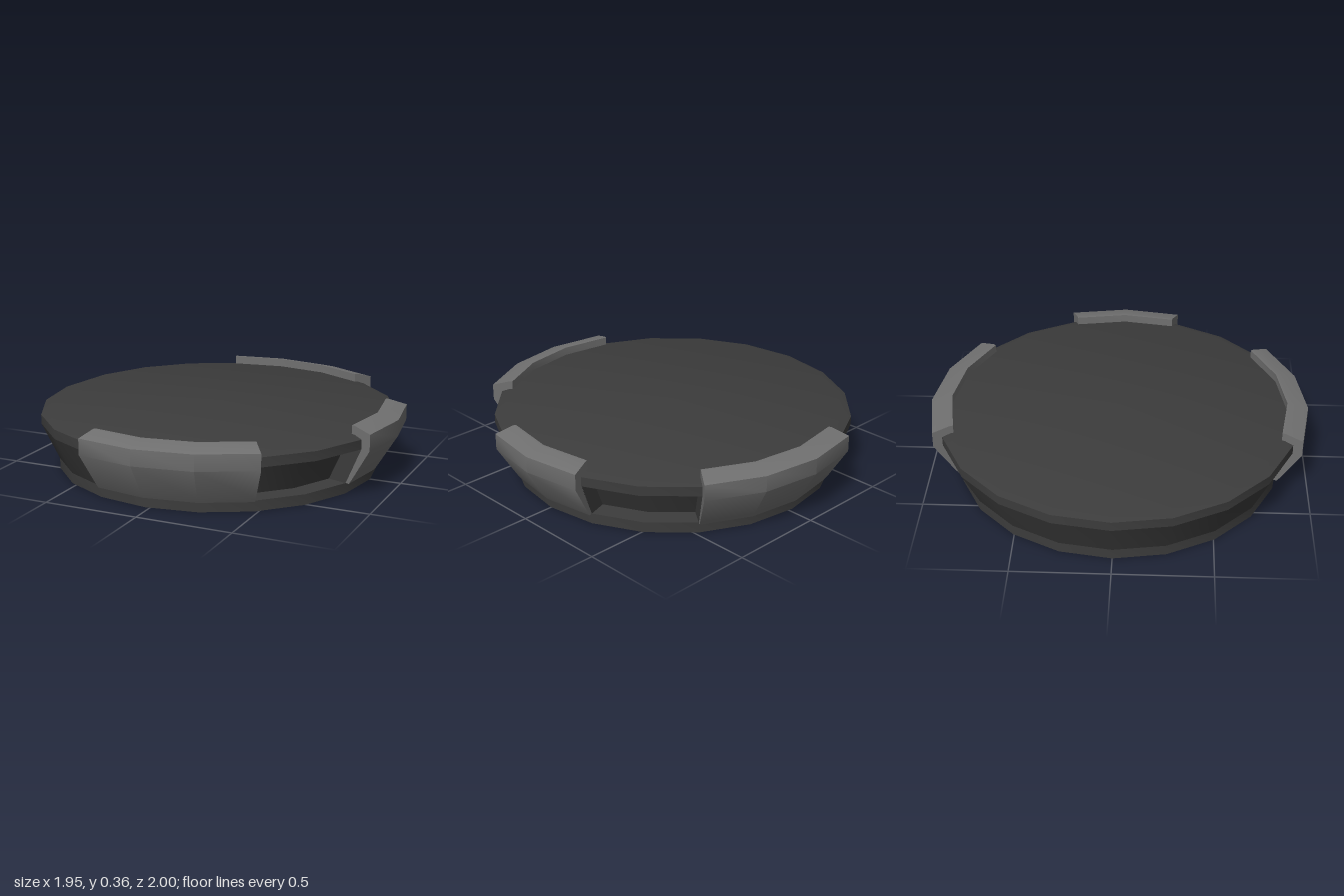
import * as THREE from 'three';
import { mergeGeometries, toCreasedNormals } from 'three/addons/utils/BufferGeometryUtils.js';

const RAD = Math.PI / 180;
const STEP = 18; // degrees per facet, 20 sides in all

// Sweep a counter-clockwise (radius, height) profile from angle a0 to a1,
// in degrees measured from +x towards +z, and cap both ends.
function sector(profile, a0, a1) {
  const pts = profile.map(([r, y]) => new THREE.Vector2(r, y));
  const start = (90 - a1) * RAD;
  const sweep = (a1 - a0) * RAD;
  const parts = [
    new THREE.LatheGeometry([...pts, pts[0].clone()], Math.round((a1 - a0) / STEP), start, sweep),
  ];
  [start, start + sweep].forEach((phi, i) => {
    const cap = new THREE.ShapeGeometry(new THREE.Shape(pts));
    cap.rotateY(phi - Math.PI / 2);
    if (i === 1) cap.index.array.reverse();
    parts.push(cap);
  });
  parts.forEach((g) => {
    g.deleteAttribute('normal');
    g.deleteAttribute('uv');
  });
  return toCreasedNormals(mergeGeometries(parts), 0.6);
}

export function createModel() {
  const group = new THREE.Group();
  const dark = new THREE.MeshStandardMaterial({ color: 0x3c3c3c });
  const grey = new THREE.MeshStandardMaterial({ color: 0x707070 });

  const add = (name, geometry, material) => {
    const mesh = new THREE.Mesh(geometry, material);
    mesh.name = name;
    mesh.position.x = -0.025;
    group.add(mesh);
  };

  // Base, recessed waist and overhanging lid in one turned body
  const bodyProfile = [
    [0, 0], [0.86, 0], [0.86, 0.055], [0.755, 0.055], [0.85, 0.25],
    [0.95, 0.25], [0.95, 0.3], [0.905, 0.317], [0, 0.325],
  ].map(([r, y]) => new THREE.Vector2(r, y));
  add('body', toCreasedNormals(new THREE.LatheGeometry(bodyProfile, 20), 0.6), dark);

  // Flared wall filling the waist, leaving two open slots between the clips
  const wallProfile = [[0.75, 0.055], [0.86, 0.055], [0.95, 0.25], [0.845, 0.25]];
  add('mainWall', sector(wallProfile, 54, 306), dark);
  add('sideWall', sector(wallProfile, -18, 18), dark);

  // Clips hooked over the rim
  const clipProfile = [
    [0.86, 0.055], [0.88, 0.055], [0.897, 0.08], [1, 0.25], [1, 0.335],
    [0.905, 0.362], [0.889, 0.362], [0.889, 0.318], [0.945, 0.3], [0.945, 0.25],
  ];
  add('frontClip', sector(clipProfile, 54, 108), grey);
  add('leftClip', sector(clipProfile, -18, 18), grey);
  add('backClip', sector(clipProfile, -108, -54), grey);

  return group;
}
